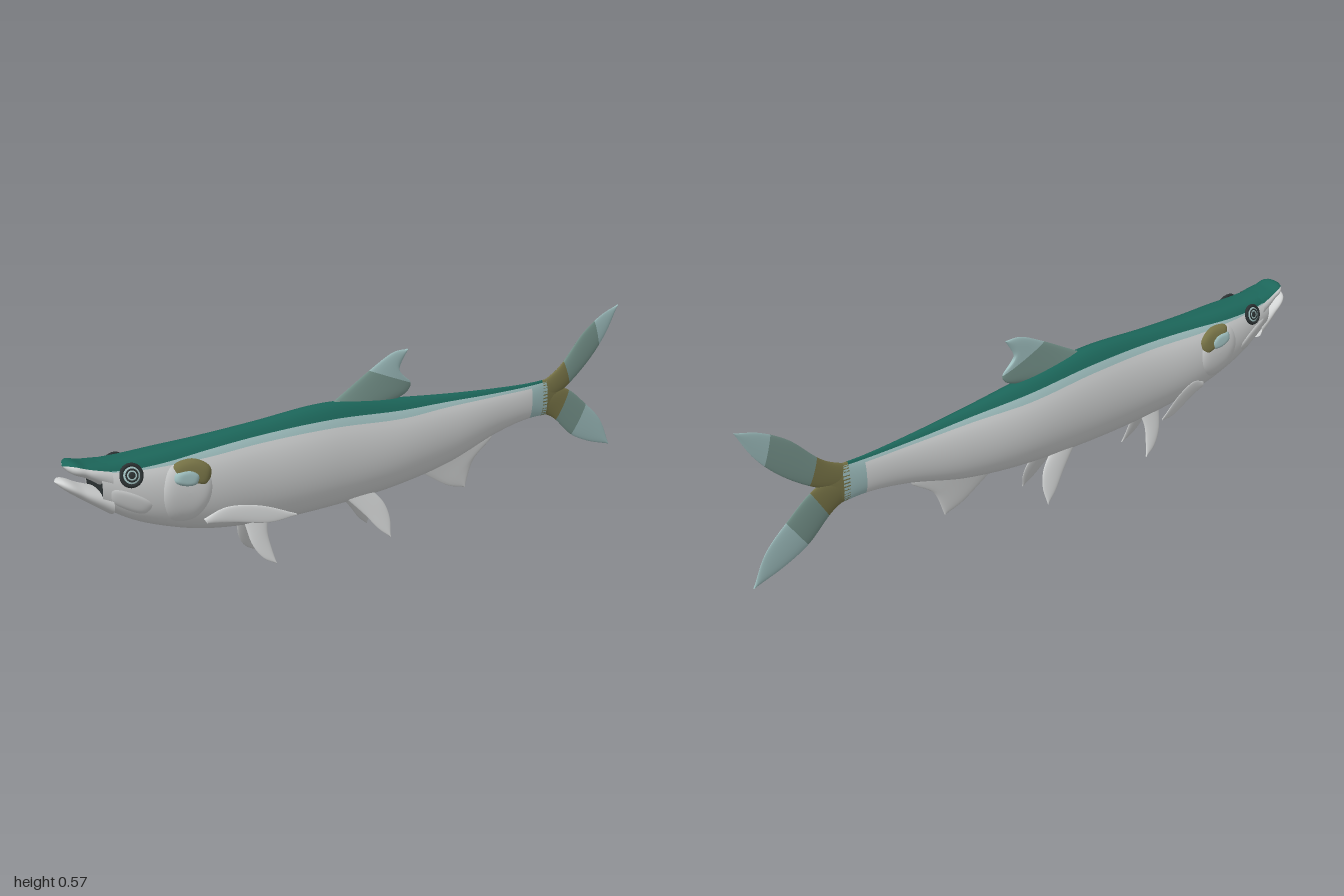
import * as THREE from 'three';

const paint = (name, color) => new THREE.MeshStandardMaterial({ name, color, side: THREE.DoubleSide });
const M = {
  silver: paint('silver', 0xd2d4d4),
  teal: paint('deep teal', 0x1c665a),
  pale: paint('pale blue', 0x9fbfbf),
  olive: paint('olive', 0x7a7648),
  sage: paint('sage grey', 0x78968e),
  dark: paint('charcoal', 0x2b3132),
};

// Smooth surface from a function of (u, v), both 0..1
function grid(fn, nu, nv) {
  const pos = [], idx = [];
  for (let i = 0; i <= nu; i++)
    for (let j = 0; j <= nv; j++) pos.push(...fn(i / nu, j / nv));
  for (let i = 0; i < nu; i++)
    for (let j = 0; j < nv; j++) {
      const a = i * (nv + 1) + j, b = a + nv + 1;
      idx.push(a, a + 1, b, a + 1, b + 1, b);
    }
  const g = new THREE.BufferGeometry();
  g.setAttribute('position', new THREE.Float32BufferAttribute(pos, 3));
  g.setIndex(idx);
  g.computeVertexNormals();
  return g;
}

function add(parent, name, geo, mat) {
  const mesh = new THREE.Mesh(geo, mat);
  mesh.name = name;
  parent.add(mesh);
  return mesh;
}

// Stations: x, top, bottom, half width, roundness, back angle, flank angle
function sampler(rows) {
  const it = new THREE.CubicInterpolant(rows.map(r => r[0]), rows.flatMap(r => r.slice(1)), rows[0].length - 1);
  return x => Array.from(it.evaluate(x));
}
const body = sampler([
  [-0.89, 0.437, 0.315, 0.056, 0.6, 0.8, 0.86],
  [-0.80, 0.433, 0.255, 0.068, 0.6, 0.75, 0.82],
  [-0.70, 0.434, 0.21, 0.076, 0.65, 0.68, 0.8],
  [-0.58, 0.437, 0.17, 0.077, 0.8, 0.6, 0.8],
  [-0.40, 0.445, 0.14, 0.071, 0.95, 0.6, 0.8],
  [-0.15, 0.455, 0.13, 0.069, 1, 0.7, 0.9],
  [0.10, 0.422, 0.142, 0.064, 1, 0.65, 0.88],
  [0.30, 0.397, 0.172, 0.047, 1, 0.55, 0.75],
  [0.50, 0.378, 0.23, 0.026, 1, 0.55, 0.75],
  [0.63, 0.37, 0.25, 0.016, 1, 0.5, 0.75],
  [0.74, 0.372, 0.245, 0.006, 1, 0.5, 0.75],
]);

// Lengthwise skin between two angles measured from the back ridge
function skin(section, x0, x1, from, to, nu, nv) {
  return grid((u, v) => {
    const x = x0 + (x1 - x0) * u, s = section(x);
    const a = THREE.MathUtils.lerp(from(s), to(s), v), sn = Math.sin(a);
    return [x, (s[0] + s[1]) / 2 + (s[0] - s[1]) / 2 * Math.cos(a), s[2] * Math.sign(sn) * Math.abs(sn) ** s[3]];
  }, nu, nv);
}

// Half width of the body at a point on its side
function sideZ(x, y) {
  const [t, b, w, p] = body(x), v = (y - (t + b) / 2) / ((t - b) / 2);
  return w * Math.max(0, 1 - v * v) ** (p / 2);
}

const curve = (pts, closed = false) =>
  new THREE.CatmullRomCurve3(pts.map(p => new THREE.Vector3(p[0], p[1], 0)), closed);

// Raised plate that follows the body side
function plate(parent, name, pts, rise, mat) {
  const c = curve(pts, true);
  const cx = pts.reduce((s, p) => s + p[0], 0) / pts.length;
  const cy = pts.reduce((s, p) => s + p[1], 0) / pts.length;
  add(parent, name, grid((u, v) => {
    const p = c.getPoint(v), x = cx + (p.x - cx) * u, y = cy + (p.y - cy) * u;
    return [x, y, sideZ(x, y) + (rise + 0.003) * (1 - u ** 6) - 0.003];
  }, 10, 40), mat);
}

// Lens-section fin between leading and trailing edges, coloured in bands from root to tip
function fin(parent, name, lead, trail, thick, bands, centreZ = () => 0) {
  const a = curve(lead), b = curve(trail), g = new THREE.Group();
  g.name = name;
  let start = 0;
  for (const [end, mat] of bands) {
    const s0 = start;
    add(g, name + 'Web', grid((u, v) => {
      const s = s0 + (end - s0) * u, th = v * Math.PI * 2;
      const p = a.getPoint(s).lerp(b.getPoint(s), (1 - Math.cos(th)) / 2);
      return [p.x, p.y, centreZ(p.x, p.y) + (thick * (1 - 0.7 * s)) * Math.sin(th)];
    }, 14, 24), mat);
    start = end;
  }
  parent.add(g);
}

export function createModel() {
  const fish = new THREE.Group();
  fish.name = 'fish';
  const A = s => s[4], B = s => s[5], TAU = Math.PI * 2;

  // Trunk: dark back, pale flank stripes, silver belly, pale tail stalk
  add(fish, 'back', skin(body, -0.89, 0.68, s => -A(s), A, 80, 14), M.teal);
  add(fish, 'leftFlankStripe', skin(body, -0.89, 0.63, A, B, 80, 4), M.pale);
  add(fish, 'rightFlankStripe', skin(body, -0.89, 0.63, s => -B(s), s => -A(s), 80, 4), M.pale);
  add(fish, 'belly', skin(body, -0.89, 0.63, B, s => TAU - B(s), 80, 36), M.silver);
  add(fish, 'tailStalk', skin(body, 0.63, 0.7, A, s => TAU - A(s), 6, 32), M.pale);
  add(fish, 'tailStalkEnd', skin(body, 0.68, 0.74, () => 0, () => TAU, 6, 32), M.olive);

  // Open mouth with two jaws
  const mouth = add(fish, 'mouthInside', new THREE.CircleGeometry(1, 32), M.dark);
  mouth.rotation.y = -Math.PI / 2;
  mouth.scale.set(0.054, 0.06, 1);
  mouth.position.set(-0.888, 0.376, 0);
  const upper = sampler([
    [-0.975, 0.441, 0.44, 0.002, 0.7], [-0.965, 0.451, 0.426, 0.03, 0.7], [-0.92, 0.442, 0.4, 0.05, 0.65],
    [-0.86, 0.434, 0.355, 0.06, 0.6],
  ]);
  const lower = sampler([
    [-1, 0.402, 0.401, 0.002, 0.8], [-0.985, 0.407, 0.384, 0.028, 0.8], [-0.93, 0.381, 0.338, 0.046, 0.8],
    [-0.86, 0.35, 0.285, 0.059, 0.7],
  ]);
  add(fish, 'snout', skin(upper, -0.975, -0.86, () => -1, () => 1, 16, 16), M.teal);
  add(fish, 'upperJaw', skin(upper, -0.975, -0.86, () => 1, () => TAU - 1, 16, 24), M.silver);
  add(fish, 'lowerJaw', skin(lower, -1, -0.86, () => 0, () => TAU, 18, 32), M.silver);

  // Fins on the centre line
  fin(fish, 'dorsalFin',
    [[-0.16, 0.435], [-0.08, 0.48], [0, 0.525], [0.09, 0.567], [0.14, 0.568]],
    [[0.07, 0.41], [0.14, 0.435], [0.153, 0.46], [0.11, 0.505], [0.14, 0.568]],
    0.013, [[0.5, M.sage], [1, M.pale]]);
  fin(fish, 'upperTailFin',
    [[0.66, 0.355], [0.75, 0.4], [0.85, 0.5], [0.93, 0.55], [1, 0.573]],
    [[0.7, 0.29], [0.78, 0.325], [0.88, 0.4], [0.95, 0.48], [1, 0.573]],
    0.009, [[0.3, M.olive], [0.65, M.sage], [1, M.pale]]);
  fin(fish, 'lowerTailFin',
    [[0.66, 0.265], [0.73, 0.235], [0.82, 0.155], [0.9, 0.115], [0.995, 0.085]],
    [[0.7, 0.33], [0.78, 0.325], [0.88, 0.25], [0.95, 0.18], [0.995, 0.085]],
    0.009, [[0.3, M.olive], [0.5, M.sage], [1, M.pale]]);
  fin(fish, 'analFin',
    [[0.18, 0.17], [0.24, 0.13], [0.31, 0.088], [0.37, 0.07]],
    [[0.45, 0.235], [0.48, 0.222], [0.405, 0.16], [0.37, 0.07]],
    0.009, [[1, M.silver]]);

  // Everything that comes in pairs, built on the left and mirrored
  for (const side of [1, -1]) {
    const half = new THREE.Group();
    half.name = side > 0 ? 'leftSide' : 'rightSide';
    half.scale.z = side;
    fish.add(half);

    const splay = (x, y) => 0.066 - y * 0.28;
    fin(half, 'pelvicFin',
      [[-0.11, 0.16], [-0.045, 0.09], [0, 0.035], [0.035, 0.005]],
      [[-0.01, 0.16], [0.03, 0.11], [0.043, 0.06], [0.035, 0.005]],
      0.008, [[1, M.silver]], splay);
    fin(half, 'forwardBellyFin',
      [[-0.45, 0.16], [-0.435, 0.09], [-0.405, 0.045], [-0.367, 0.022]],
      [[-0.37, 0.16], [-0.38, 0.115], [-0.375, 0.065], [-0.367, 0.022]],
      0.008, [[1, M.silver]], splay);
    fin(half, 'pectoralFin',
      [[-0.6, 0.22], [-0.54, 0.248], [-0.45, 0.242], [-0.35, 0.205]],
      [[-0.59, 0.205], [-0.52, 0.2], [-0.42, 0.187], [-0.35, 0.2]],
      0.006, [[1, M.silver]], x => 0.145 + 0.33 * (x + 0.35));

    // Cheek, gill cover and its coloured patch
    plate(half, 'jawBone', [[-0.87, 0.37], [-0.8, 0.345], [-0.75, 0.3], [-0.77, 0.275], [-0.83, 0.3], [-0.87, 0.335]], 0.003, M.silver);
    plate(half, 'gillCover', [[-0.7, 0.4], [-0.62, 0.402], [-0.575, 0.35], [-0.58, 0.28], [-0.63, 0.225], [-0.7, 0.235], [-0.73, 0.32]], 0.006, M.silver);
    plate(half, 'gillPatch', [[-0.69, 0.398], [-0.62, 0.405], [-0.572, 0.37], [-0.59, 0.325], [-0.63, 0.335], [-0.685, 0.365]], 0.009, M.olive);
    plate(half, 'gillPatchCentre', [[-0.69, 0.378], [-0.64, 0.382], [-0.61, 0.36], [-0.62, 0.335], [-0.66, 0.335], [-0.695, 0.355]], 0.013, M.pale);

    // Eye: dark socket rim, pale iris, dark pupil
    const eye = new THREE.Group();
    eye.name = 'eye';
    eye.position.set(-0.808, 0.396, sideZ(-0.808, 0.396));
    eye.rotation.set(-0.35, -0.1, 0);
    half.add(eye);
    add(eye, 'eyeRim', new THREE.TorusGeometry(0.028, 0.006, 8, 32), M.dark);
    add(eye, 'iris', new THREE.SphereGeometry(0.027, 24, 12), M.pale).scale.z = 0.25;
    add(eye, 'irisRing', new THREE.TorusGeometry(0.016, 0.0025, 6, 28), M.dark).position.z = 0.0055;
    const pupil = add(eye, 'pupil', new THREE.SphereGeometry(0.01, 16, 10), M.dark);
    pupil.scale.z = 0.3;
    pupil.position.z = 0.0055;
  }
  return fish;
}
